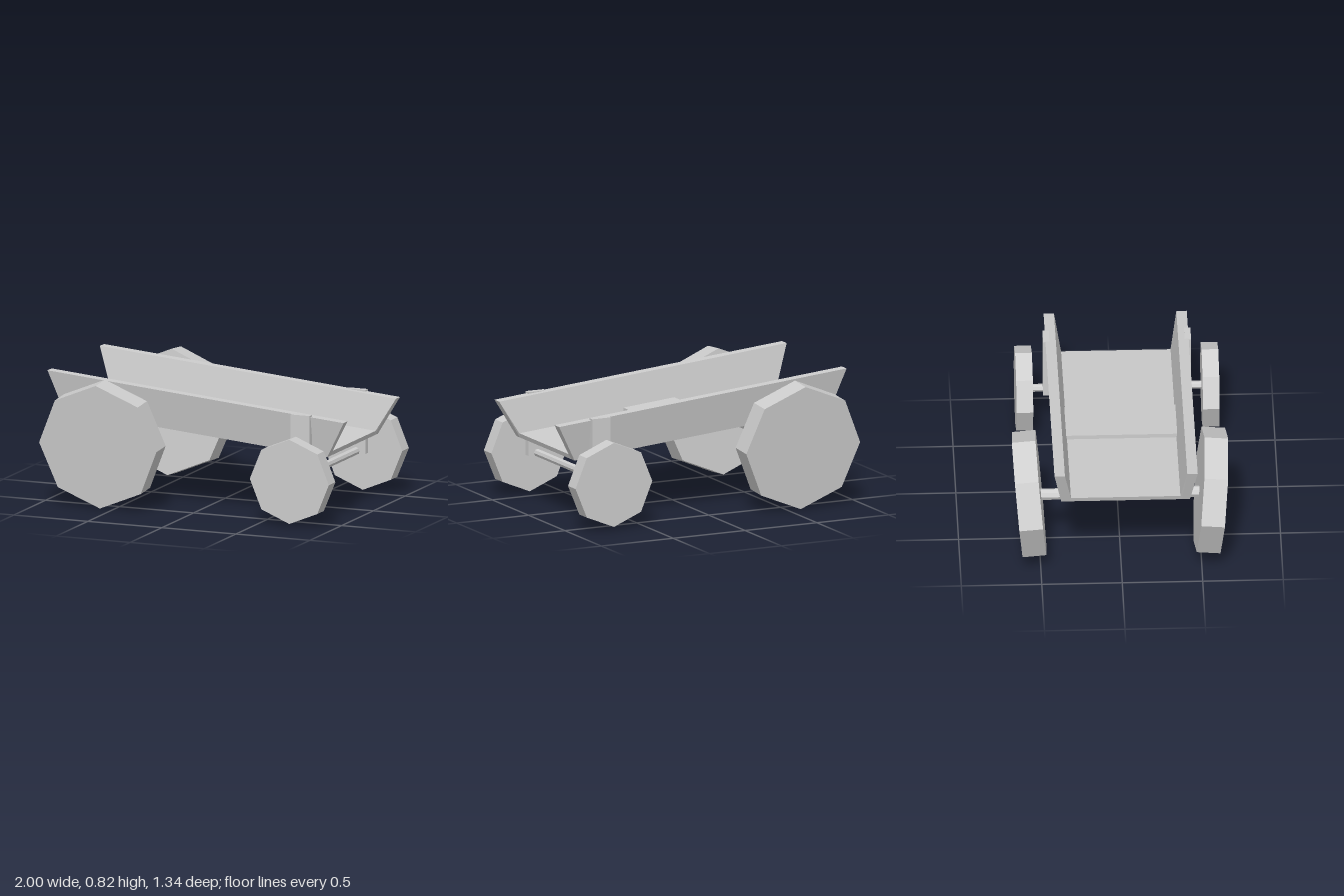
import * as THREE from 'three';
import { ConvexGeometry } from 'three/addons/geometries/ConvexGeometry.js';

const material = new THREE.MeshStandardMaterial({ color: 0xcccccc, flatShading: true });
const SLOPE = 0.0875; // the tray falls towards +x
const MID = 0.024; // tray and front axle sit slightly off centre

export function createModel() {
  const group = new THREE.Group();

  const add = (name, geometry, x = 0, y = 0, z = 0) => {
    const mesh = new THREE.Mesh(geometry, material);
    mesh.name = name;
    mesh.position.set(x, y, z);
    group.add(mesh);
    return mesh;
  };
  const solid = (name, points) =>
    add(name, new ConvexGeometry(points.map(p => new THREE.Vector3(...p))));
  const disc = (name, radius, length, x, y, z, tilt = 0) => {
    const mesh = add(name, new THREE.CylinderGeometry(radius, radius, length, 8), x, y, z);
    mesh.rotation.x = Math.PI / 2 + tilt;
    return mesh;
  };

  // Heights of the sloping tray surfaces
  const floorTop = x => 0.44 + (0.88 - x) * SLOPE;
  const floorBottom = x => 0.41 + (0.87 - x) * SLOPE;
  const wallTop = x => 0.645 + (1 - x) * SLOPE;

  // Floor, with its ends flush to the walls
  const floor = [];
  for (const z of [MID - 0.36, MID + 0.36]) {
    for (const x of [-0.92, 0.88]) floor.push([x, floorTop(x), z]);
    for (const x of [-0.91, 0.87]) floor.push([x, floorBottom(x), z]);
  }
  solid('floor', floor);

  // Raised panel across the middle of the floor
  const panel = [];
  for (const x of [-0.2, 0.155]) {
    for (const z of [MID - 0.35, MID + 0.35]) {
      panel.push([x, floorTop(x) - 0.01, z], [x, floorTop(x) + 0.027, z]);
    }
  }
  solid('floorPanel', panel);

  for (const s of [1, -1]) {
    const side = s > 0 ? 'left' : 'right';

    // Side wall flaring outward, with raked ends
    const wall = [];
    for (const x of [-1, 1]) {
      wall.push([x, wallTop(x), MID + s * 0.445], [x, wallTop(x), MID + s * 0.38]);
    }
    for (const x of [-0.92, 0.88]) wall.push([x, floorTop(x), MID + s * 0.34]);
    for (const x of [-0.91, 0.87]) {
      wall.push([x, floorBottom(x), MID + s * 0.4], [x, floorBottom(x), MID + s * 0.35]);
    }
    solid(side + 'Wall', wall);

    // Hanger plate that carries the front axle
    add(side + 'AxleHanger', new THREE.BoxGeometry(0.127, 0.405, 0.04), 0.713, 0.4725, MID + s * 0.44);

    // Small upright front wheel and large cambered rear wheel
    disc(side + 'FrontWheel', 0.267, 0.104, 0.713, 0.285, MID + s * 0.579);
    disc(side + 'RearWheel', 0.396, 0.148, -0.588, 0.403, s * 0.565, s * 0.085);
  }

  // Axles
  disc('frontAxle', 0.025, 1.1, 0.713, 0.285, MID);
  disc('rearAxle', 0.036, 1.1, -0.588, 0.396, 0);

  return group;
}
